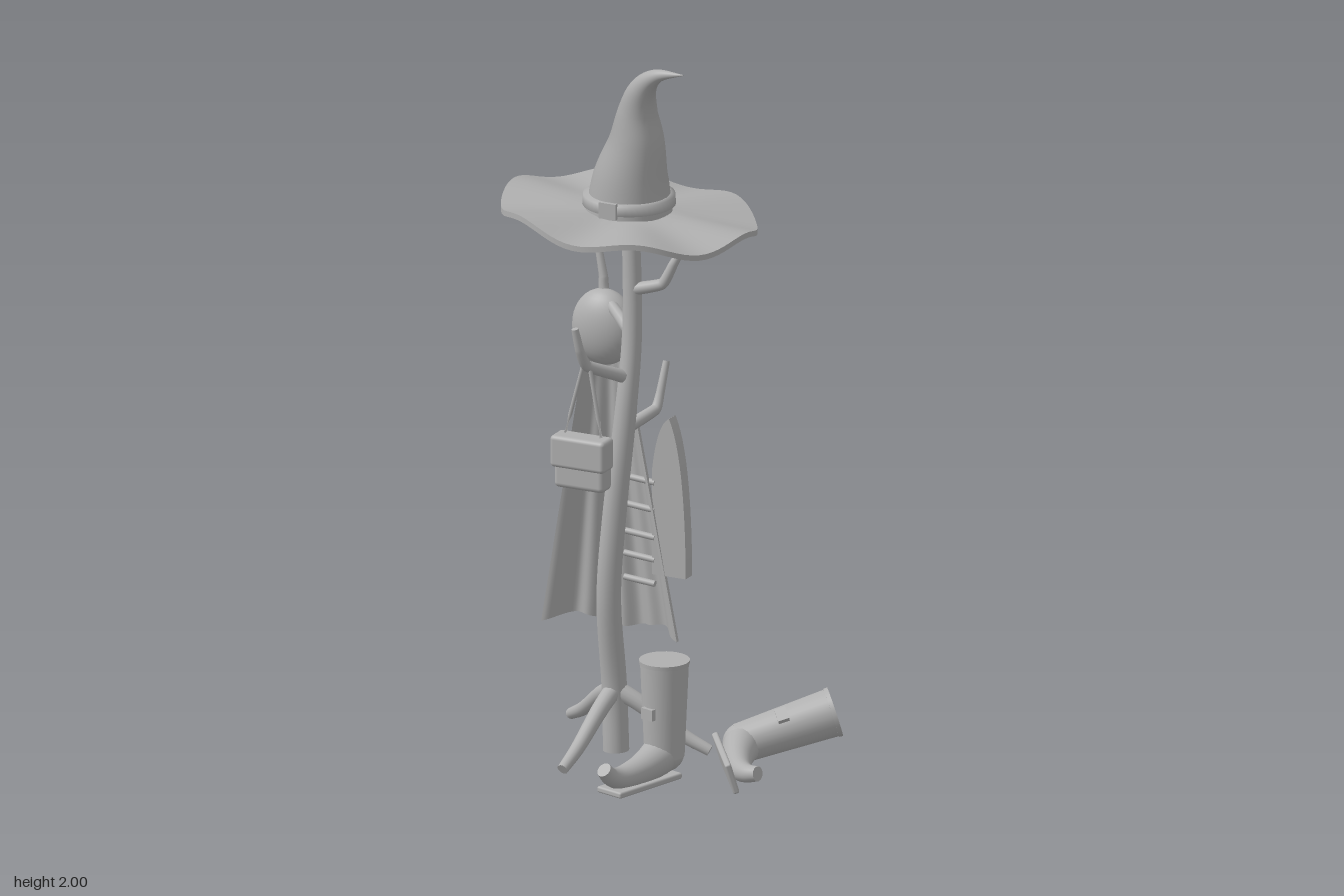
import * as THREE from 'three';
import { RoundedBoxGeometry } from 'three/addons/geometries/RoundedBoxGeometry.js';
import { toCreasedNormals } from 'three/addons/utils/BufferGeometryUtils.js';

const { lerp } = THREE.MathUtils;
const V = (a) => new THREE.Vector3(...a);

export function createModel() {
  const model = new THREE.Group();
  const grey = new THREE.MeshStandardMaterial({ color: 0xb0b0b0 });
  grey.name = 'plain grey';

  function add(name, geo, pos = [0, 0, 0], parent = model) {
    const mesh = new THREE.Mesh(geo, grey);
    mesh.name = name;
    mesh.position.set(...pos);
    parent.add(mesh);
    return mesh;
  }

  // Tube through points [x, y, z, radius], optionally capped at both ends
  function taper(name, pts, { steps = 8, sides = 14, caps = true, tension = 0.5, parent = model } = {}) {
    const curve = new THREE.CatmullRomCurve3(pts.map((p) => V(p.slice(0, 3))), false, 'catmullrom', tension);
    curve.getPointAt = (t, v) => curve.getPoint(t, v);
    curve.getTangentAt = (t, v) => curve.getTangent(t, v);
    const n = (pts.length - 1) * steps;
    const geo = new THREE.TubeGeometry(curve, n, 1, sides);
    const pos = geo.attributes.position;
    const v = new THREE.Vector3();
    for (let i = 0; i < pos.count; i++) {
      const ring = Math.floor(i / (sides + 1));
      const k = Math.min(Math.floor(ring / steps), pts.length - 2);
      const radius = lerp(pts[k][3], pts[k + 1][3], ring / steps - k);
      const centre = curve.getPoint(ring / n);
      v.fromBufferAttribute(pos, i).sub(centre).multiplyScalar(radius).add(centre);
      pos.setXYZ(i, v.x, v.y, v.z);
    }
    add(name, geo, [0, 0, 0], parent);
    if (!caps) return;
    for (const end of [0, 1]) {
      const p = pts[end * (pts.length - 1)];
      const cap = add(name + 'End', new THREE.CircleGeometry(p[3], sides), p.slice(0, 3), parent);
      const dir = curve.getTangent(end).multiplyScalar(end ? 1 : -1);
      cap.quaternion.setFromUnitVectors(new THREE.Vector3(0, 0, 1), dir);
    }
  }

  // Crooked trunk of the stand
  taper('pole', [
    [-0.16, 0, -0.02, 0.037], [-0.167, 0.2, -0.02, 0.036], [-0.167, 0.45, 0.012, 0.035],
    [-0.15, 0.7, 0.01, 0.034], [-0.125, 1.0, -0.01, 0.031], [-0.12, 1.25, -0.04, 0.028],
    [-0.135, 1.6, -0.055, 0.025],
  ]);

  // Three root feet
  for (const [x, z] of [[-0.39, -0.2], [0.1, -0.08], [-0.19, 0.25]]) {
    const at = (t, y, r) => [lerp(-0.165, x, t), y, lerp(-0.02, z, t), r];
    taper('rootFoot', [at(0, 0.18, 0.026), at(0.3, 0.135, 0.024), at(0.7, 0.06, 0.02), at(1, 0.018, 0.016)]);
  }

  // Bent branches used as hooks
  const hooks = [
    [[-0.13, 1.34, -0.04], [-0.03, 1.37, -0.045], [0.0, 1.43, -0.055], [0.03, 1.5, -0.08]],
    [[-0.12, 1.22, -0.03], [-0.25, 1.28, -0.13], [-0.26, 1.33, -0.14], [-0.28, 1.41, -0.15]],
    [[-0.13, 1.1, 0], [-0.19, 1.15, 0.1], [-0.2, 1.2, 0.125], [-0.21, 1.265, 0.135]],
    [[-0.14, 0.935, -0.01], [-0.1, 0.965, -0.14], [-0.098, 1.0, -0.165], [-0.095, 1.09, -0.2]],
  ];
  for (const h of hooks) {
    taper('branchHook', h.map((p, i) => [...p, 0.019 - i * 0.003]), { tension: 0.2, sides: 10 });
  }

  // Hat: wavy brim, bent crown, band and buckle
  const hat = new THREE.Group();
  hat.name = 'hat';
  model.add(hat);
  const profile = [];
  for (let i = 0; i <= 6; i++) profile.push(new THREE.Vector2(lerp(0.1, 0.355, i / 6), -0.008));
  for (let i = 6; i >= 0; i--) profile.push(new THREE.Vector2(lerp(0.1, 0.355, i / 6), 0.008));
  const brim = new THREE.LatheGeometry(profile, 96);
  const bp = brim.attributes.position;
  for (let i = 0; i < bp.count; i++) {
    const x = bp.getX(i), z = bp.getZ(i);
    const a = Math.atan2(z, x);
    const k = (Math.hypot(x, z) - 0.1) / 0.255;
    bp.setY(i, bp.getY(i) + k * (-0.03 * Math.cos(a) + 0.02 * Math.sin(a) + 0.015 * Math.cos(6 * a) - 0.008));
  }
  add('hatBrim', toCreasedNormals(brim, 0.7), [-0.13, 1.57, -0.04], hat);
  taper('hatCrown', [
    [-0.13, 1.57, -0.04, 0.122], [-0.125, 1.67, -0.042, 0.106], [-0.112, 1.77, -0.05, 0.08],
    [-0.11, 1.86, -0.054, 0.056], [-0.09, 1.93, -0.048, 0.038], [-0.042, 1.976, -0.04, 0.019],
    [0.038, 1.99, -0.04, 0.001],
  ], { sides: 32, caps: false, parent: hat });
  add('hatBand', new THREE.LatheGeometry([[0.116, -0.018], [0.13, -0.014], [0.128, 0.014], [0.11, 0.018]]
    .map((p) => new THREE.Vector2(...p)), 48), [-0.13, 1.608, -0.04], hat);
  add('hatBuckle', new THREE.BoxGeometry(0.052, 0.046, 0.012), [-0.13, 1.608, 0.09], hat);

  // Cape: a thin slab bent into a fluted half cone
  const cape = new THREE.BoxGeometry(2, 1, 1, 60, 16, 1);
  const cp = cape.attributes.position;
  for (let i = 0; i < cp.count; i++) {
    const t = cp.getX(i), s = cp.getY(i) + 0.5, layer = cp.getZ(i) * 0.012;
    cp.setXYZ(i,
      -0.25 + lerp(0.21, 0.055, s) * t,
      lerp(0.295, 1.15, s) - (1 - s) * 0.014 * Math.cos(t * 5),
      lerp(-0.262, -0.182, s) + t * t * lerp(0.1, 0.05, s) + (1 - s) * 0.013 * Math.cos(t * 14) + layer);
  }
  cape.computeVertexNormals();
  add('cape', cape);
  add('capeHood', new THREE.SphereGeometry(1, 32, 20), [-0.25, 1.19, -0.125]).scale.set(0.095, 0.11, 0.062);
  for (const y of [0.75, 0.67, 0.59, 0.525, 0.455]) {
    const toggle = add('capeToggle', new THREE.CylinderGeometry(0.009, 0.009, 0.095, 10), [-0.155, y, -0.155]);
    toggle.rotation.z = Math.PI / 2 - 0.08;
  }

  // Scarf folded over the low hook
  const fold = new THREE.Shape();
  fold.moveTo(-0.115, 0.48);
  fold.lineTo(-0.01, 0.48);
  fold.quadraticCurveTo(-0.012, 0.83, -0.062, 0.94);
  fold.quadraticCurveTo(-0.1, 0.92, -0.115, 0.78);
  add('scarf', new THREE.ExtrudeGeometry(fold, { depth: 0.04, bevelEnabled: false, curveSegments: 12 }), [0, 0, -0.19]);

  // Satchel with flap and two straps
  add('bagBody', new RoundedBoxGeometry(0.155, 0.145, 0.06, 3, 0.015), [-0.202, 0.865, 0.102]);
  add('bagFlap', new RoundedBoxGeometry(0.168, 0.092, 0.07, 3, 0.012), [-0.202, 0.9, 0.108]);
  for (const side of [-1, 1]) {
    taper('bagStrap', [[-0.202 + side * 0.058, 0.935, 0.1, 0.006], [-0.192 + side * 0.01, 1.15, 0.1, 0.006]],
      { sides: 8, steps: 2 });
  }

  // Boot: local y runs up the shaft and local z towards the toe
  function boot(name, origin, up, forward, buckleAngle) {
    const g = new THREE.Group();
    g.name = name;
    const y = V(up).normalize();
    const x = y.clone().cross(V(forward)).normalize();
    const z = x.clone().cross(y);
    g.quaternion.setFromRotationMatrix(new THREE.Matrix4().makeBasis(x, y, z));
    g.position.set(...origin);
    model.add(g);
    add('bootShaft', new THREE.CylinderGeometry(0.068, 0.056, 0.27, 28), [0, 0.205, 0], g);
    add('bootCuff', new THREE.CylinderGeometry(0.071, 0.07, 0.012, 28), [0, 0.343, 0], g);
    taper('bootFoot', [
      [0, 0.09, -0.005, 0.055], [0, 0.068, 0.035, 0.052], [0, 0.05, 0.1, 0.041],
      [0, 0.045, 0.17, 0.033], [0, 0.058, 0.215, 0.026], [0, 0.085, 0.243, 0.021],
    ], { sides: 20, parent: g });
    add('bootHeel', new THREE.SphereGeometry(0.056, 24, 14), [0, 0.08, 0], g);
    add('bootSole', new RoundedBoxGeometry(0.092, 0.018, 0.25, 2, 0.006), [0, 0.014, 0.1], g);
    const s = Math.sin(buckleAngle), c = Math.cos(buckleAngle);
    const buckle = add('bootBuckle', new THREE.BoxGeometry(0.042, 0.032, 0.014), [s * 0.066, 0.205, c * 0.066], g);
    buckle.rotation.y = buckleAngle;
  }
  boot('standingBoot', [0.075, 0, 0.15], [0, 1, 0], [-0.29, 0, 0.96], 0);
  boot('fallenBoot', [0.18, 0.065, 0.045], [0.79, 0.29, -0.54], [0.48, -0.09, 0.87], -1);

  return model;
}
